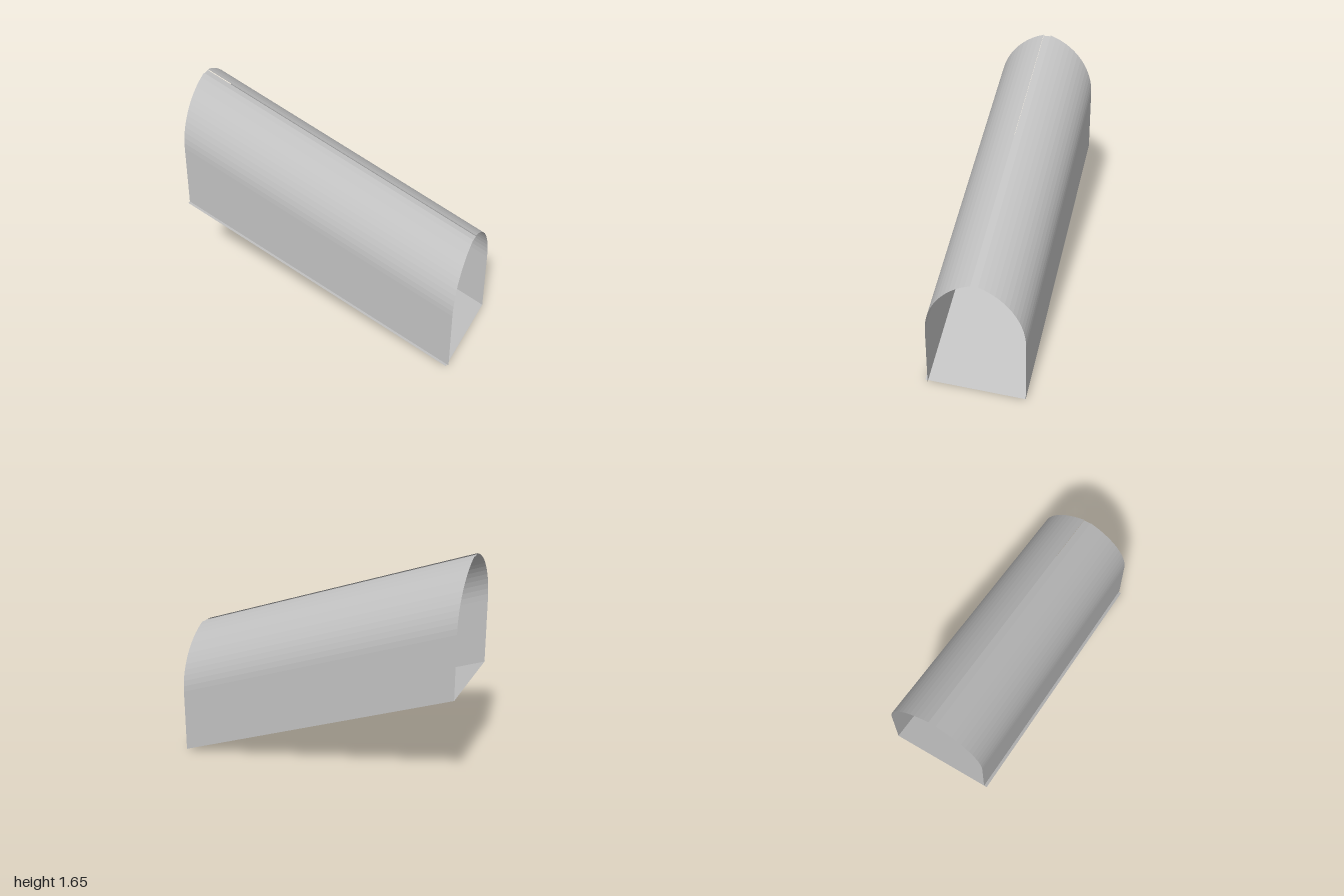
import * as THREE from 'three';

const SLOPE = 0.383; // fall per unit of x
const SPRING = 0.46; // height where the walls start to curve (at the low end)
const PEAK = 0.885;  // height of the vault edges (at the low end)

export function createModel() {
  const group = new THREE.Group();
  group.name = 'slopedTunnel';
  const gray = new THREE.MeshStandardMaterial({ color: 0xc0c0c0, flatShading: true, side: THREE.DoubleSide });
  gray.name = 'plain gray';

  // Open sheet: a [z, y, xEnd] profile swept along x down the slope
  function sheet(name, profile) {
    const pos = [];
    const at = (x, [z, y]) => [x, y + (1 - x) * SLOPE, z];
    for (let i = 0; i < profile.length - 1; i++) {
      const p = profile[i], q = profile[i + 1];
      const a = at(-1, p), b = at(p[2] ?? 1, p), c = at(q[2] ?? 1, q), d = at(-1, q);
      pos.push(...a, ...b, ...c, ...a, ...c, ...d);
    }
    const geo = new THREE.BufferGeometry();
    geo.setAttribute('position', new THREE.Float32BufferAttribute(pos, 3));
    geo.computeVertexNormals();
    const mesh = new THREE.Mesh(geo, gray);
    mesh.name = name;
    group.add(mesh);
  }

  // Circular arc, upright at the wall and ending at the ridge
  function arc(zWall, zRidge, segments = 14) {
    const w = Math.abs(zWall - zRidge), h = PEAK - SPRING;
    const r = (w * w + h * h) / (2 * w);
    const side = Math.sign(zWall), end = Math.asin(h / r);
    return Array.from({ length: segments + 1 }, (_, i) => {
      const t = (end * i) / segments;
      return [zWall - side * r * (1 - Math.cos(t)), SPRING + r * Math.sin(t)];
    });
  }

  // Upright walls
  sheet('frontWall', [[0.33, 0], [0.33, SPRING]]);
  sheet('backWall', [[-0.35, SPRING], [-0.35, 0]]);

  // Two halves of the pointed vault
  sheet('frontVault', arc(0.33, 0.015));
  sheet('backVault', arc(-0.35, -0.037).reverse());

  // Narrow strip sunk between the vault halves
  sheet('ridgeStrip', [[0.015, 0.878], [-0.037, 0.878]]);

  // Floor, reaching slightly past the front wall
  sheet('floor', [[-0.35, 0], [0.35, 0, 0.988]]);

  return group;
}
